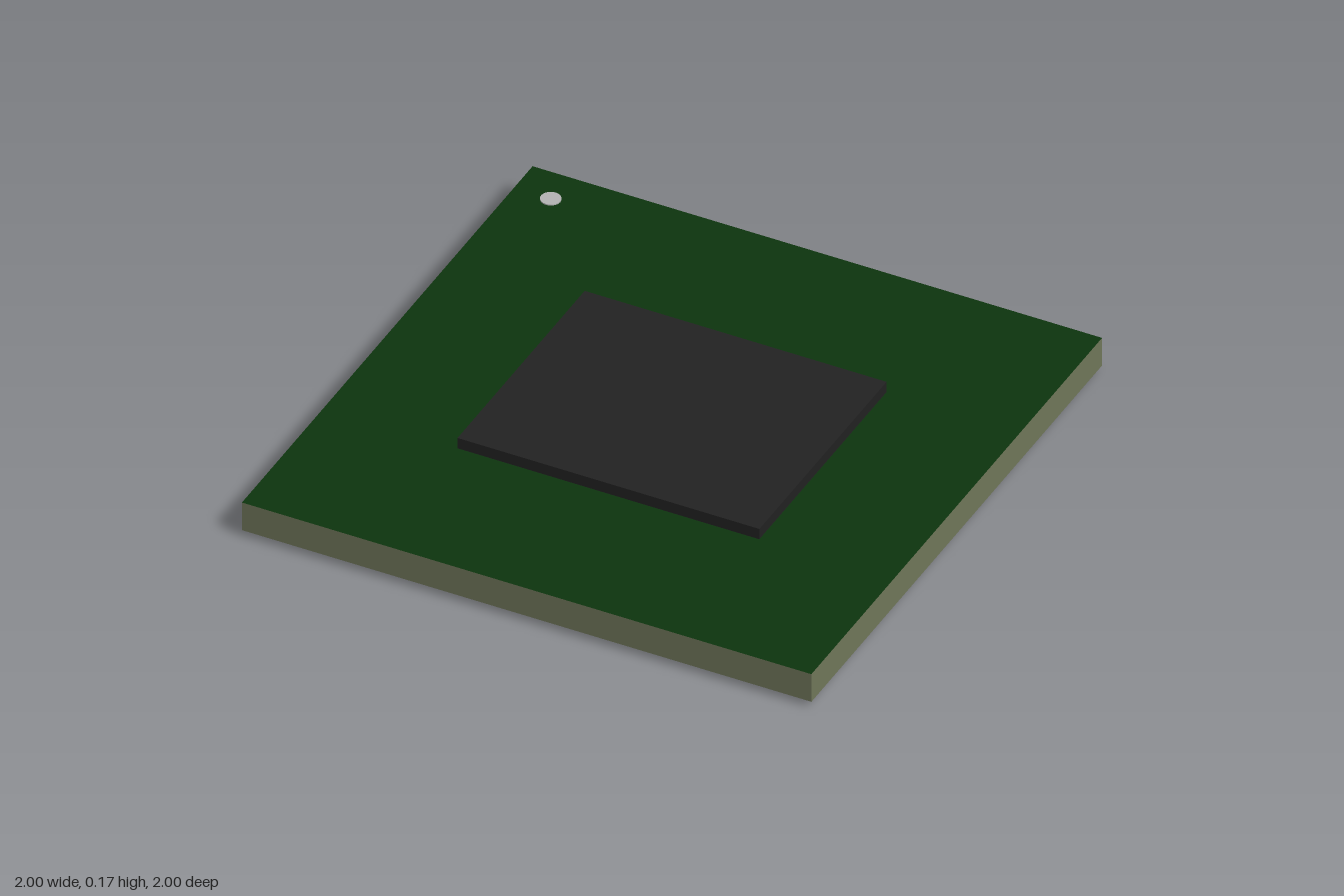
import * as THREE from 'three';
import { mergeGeometries } from 'three/addons/utils/BufferGeometryUtils.js';

const material = (name, color) => {
  const m = new THREE.MeshStandardMaterial({ color });
  m.name = name;
  return m;
};

export function createModel() {
  const group = new THREE.Group();
  const green = material('solder mask green', 0x0d350e);
  const edge = material('substrate edge olive', 0x70775a);
  const black = material('underside black', 0x141414);
  const charcoal = material('die charcoal', 0x222222);
  const silver = material('marker silver', 0xb4b4b4);
  const solder = material('solder grey', 0xa6a6a8);

  const add = (name, geometry, mat, x = 0, y = 0, z = 0) => {
    const mesh = new THREE.Mesh(geometry, mat);
    mesh.name = name;
    mesh.position.set(x, y, z);
    group.add(mesh);
  };

  const bottom = 0.023, top = 0.13, dieTop = 0.17;

  // Board: olive sides, green top, black underside
  add('substrate', new THREE.BoxGeometry(2, top - bottom, 2),
    [edge, edge, green, black, edge, edge], 0, (top + bottom) / 2, 0);

  // Raised die and the pin-one corner marker
  add('die', new THREE.BoxGeometry(1.06, dieTop - top, 0.875), charcoal, 0, (top + dieTop) / 2, 0);
  add('cornerMarker', new THREE.CylinderGeometry(0.034, 0.034, 0.004, 20), silver, -0.87, top + 0.002, -0.87);

  // Ball grid: three full outer rings, then radial rows with routing channels between them
  const half = 14, pitch = 1 / 15, radius = 0.021;
  const ball = new THREE.SphereGeometry(radius, 10, 6);
  const balls = [];
  for (let i = -half; i <= half; i++) {
    for (let j = -half; j <= half; j++) {
      const ring = Math.max(Math.abs(i), Math.abs(j));
      const across = Math.min(Math.abs(i), Math.abs(j));
      if (ring < half - 2 && across % 2 === 1) continue;
      balls.push(ball.clone().translate(i * pitch, radius, j * pitch));
    }
  }
  add('solderBalls', mergeGeometries(balls), solder);

  return group;
}
